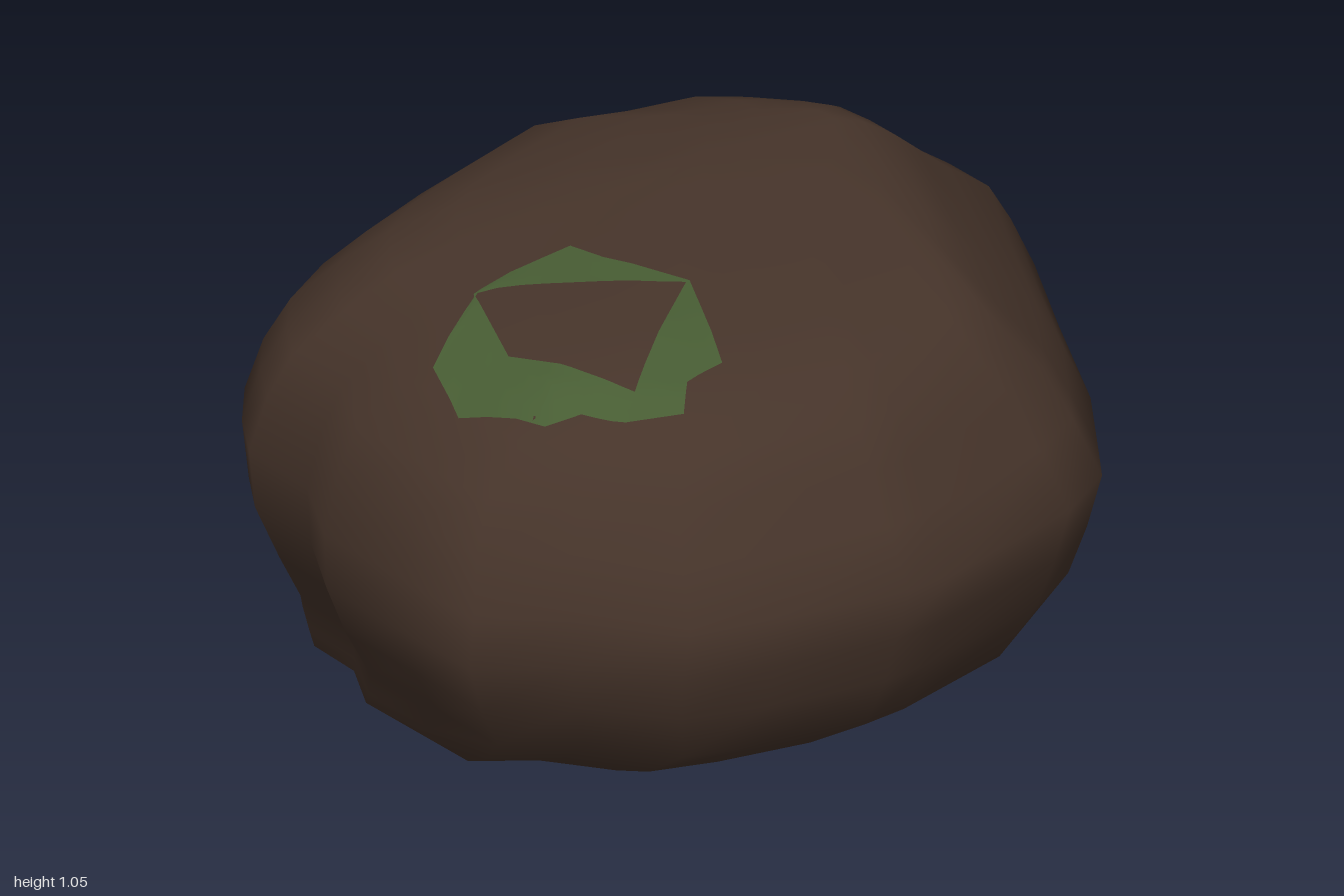
import * as THREE from 'three';

// Outline of the boulder from above (x, z), counter-clockwise
const OUTLINE = [
  [1, -0.04], [1, -0.2], [0.98, -0.36], [0.9, -0.49], [0.75, -0.66], [0.6, -0.79], [0.34, -0.86],
  [0.13, -0.95], [-0.26, -0.87], [-0.52, -0.8], [-0.7, -0.71], [-0.8, -0.6], [-0.88, -0.48],
  [-0.89, -0.27], [-1, -0.08], [-1, 0.18], [-1, 0.43], [-0.82, 0.57], [-0.67, 0.78], [-0.47, 0.86],
  [-0.18, 0.94], [-0.05, 0.94], [0.33, 0.88], [0.49, 0.8], [0.57, 0.69], [0.7, 0.51], [0.86, 0.21],
];

// Cross-sections: height, then the reach in x and z
const LEVELS = [
  [0, -0.8, 0.55, -0.77, 0.53],
  [0.06, -0.84, 0.63, -0.79, 0.68],
  [0.15, -0.88, 0.79, -0.82, 0.82],
  [0.28, -0.96, 0.92, -0.84, 0.88],
  [0.4, -1, 0.97, -0.91, 0.92],
  [0.53, -1, 1, -0.95, 0.95],
  [0.66, -0.96, 0.94, -0.9, 0.88],
  [0.77, -0.91, 0.87, -0.83, 0.82],
  [0.87, -0.8, 0.74, -0.73, 0.76],
  [0.94, -0.67, 0.66, -0.65, 0.66],
  [0.985, -0.5, 0.61, -0.55, 0.5],
  [1.015, -0.18, 0.56, -0.4, 0.24],
  [1.032, -0.02, 0.5, -0.28, 0.05],
];

// Flat break on the lower right side
const BREAK_NORMAL = new THREE.Vector3(0.62, -0.7, 0.35).normalize();
const BREAK_POINT = new THREE.Vector3(0.62, 0.24, 0.4);

function toGeometry(positions, index) {
  const geometry = new THREE.BufferGeometry();
  geometry.setAttribute('position', new THREE.Float32BufferAttribute(positions, 3));
  geometry.setIndex(index);
  geometry.computeVertexNormals();
  return geometry;
}

function levelRing([y, x0, x1, z0, z1]) {
  return OUTLINE.map(([x, z]) => {
    const p = new THREE.Vector3(
      THREE.MathUtils.mapLinear(x, -1, 1, x0, x1), y,
      THREE.MathUtils.mapLinear(z, -0.95, 0.94, z0, z1));
    // Press the lower right corner back behind the break
    const over = p.clone().sub(BREAK_POINT).dot(BREAK_NORMAL) + 0.012;
    if (y < 0.27 && p.z > 0 && over > 0) {
      p.x -= over * BREAK_NORMAL.x * 1.2;
      p.z -= over * BREAK_NORMAL.z * 1.2;
    }
    return p;
  });
}

function rockGeometry() {
  const n = OUTLINE.length;
  const positions = [];
  const index = [];
  const rings = LEVELS.map(levelRing);
  rings.forEach((ring) => ring.forEach((p) => positions.push(p.x, p.y, p.z)));
  const top = positions.length / 3;
  positions.push(0.15, 1.05, -0.15);
  for (let j = 0; j < rings.length; j++) {
    for (let i = 0; i < n; i++) {
      const a = j * n + i;
      const b = j * n + (i + 1) % n;
      if (j === rings.length - 1) index.push(a, b, top);
      else index.push(a, b, b + n, a, b + n, a + n);
    }
  }
  // Flat base with its own vertices, for a sharp edge
  const base = positions.length / 3;
  rings[0].forEach((p) => positions.push(p.x, p.y, p.z));
  positions.push(-0.12, 0, -0.12);
  for (let i = 0; i < n; i++) index.push(base + (i + 1) % n, base + i, base + n);
  return toGeometry(positions, index);
}

// Ring of moss draped over the rock between two outlines
function mossGeometry(rock) {
  const outer = [[-0.54, -0.09], [-0.3, -0.07], [-0.28, 0.02], [-0.2, 0.22], [-0.34, 0.5], [-0.44, 0.5],
    [-0.5, 0.56], [-0.6, 0.48], [-0.66, 0.4], [-0.74, 0.37], [-0.82, 0.17], [-0.76, 0.01]];
  const inner = [[-0.56, -0.09], [-0.44, 0.01], [-0.34, 0.1], [-0.21, 0.22], [-0.38, 0.33], [-0.47, 0.39],
    [-0.54, 0.44], [-0.57, 0.36], [-0.6, 0.29], [-0.63, 0.22], [-0.66, 0.15], [-0.61, 0.03]];
  const caster = new THREE.Raycaster();
  const down = new THREE.Vector3(0, -1, 0);
  const positions = [];
  const index = [];
  const n = outer.length * 3;
  const steps = 4;
  const at = (list, i) => {
    const a = list[Math.floor(i / 3)];
    const b = list[(Math.floor(i / 3) + 1) % list.length];
    const t = (i % 3) / 3;
    return [a[0] + (b[0] - a[0]) * t, a[1] + (b[1] - a[1]) * t];
  };
  for (let s = 0; s <= steps; s++) {
    for (let i = 0; i < n; i++) {
      const [ox, oz] = at(outer, i);
      const [ix, iz] = at(inner, i);
      const x = ox + (ix - ox) * s / steps;
      const z = oz + (iz - oz) * s / steps;
      caster.set(new THREE.Vector3(x, 3, z), down);
      const hit = caster.intersectObject(rock)[0];
      positions.push(x, (hit ? hit.point.y : 0.9) + 0.009, z);
    }
  }
  for (let s = 0; s < steps; s++) {
    for (let i = 0; i < n; i++) {
      const a = s * n + i;
      const b = s * n + (i + 1) % n;
      index.push(a, b + n, b, a, a + n, b + n);
    }
  }
  return toGeometry(positions, index);
}

// Flat pentagon of fresh stone
function breakGeometry() {
  const corners = [[0.62, 0.24, 0.4], [0.62, 0.08, 0.08], [0.5, 0, 0.08], [0.23, 0, 0.49], [0.4, 0.08, 0.49]];
  return toGeometry(corners.flat(), [0, 2, 1, 0, 3, 2, 0, 4, 3]);
}

export function createModel() {
  const stone = new THREE.MeshStandardMaterial({ color: 0x46342a });
  const mossGreen = new THREE.MeshStandardMaterial({ color: 0x475c33, side: THREE.DoubleSide });
  const freshStone = new THREE.MeshStandardMaterial({ color: 0x6b5040, side: THREE.DoubleSide });
  stone.name = 'dark brown stone';
  mossGreen.name = 'moss green';
  freshStone.name = 'light brown stone';

  const group = new THREE.Group();
  group.name = 'mossyBoulder';
  const add = (name, geometry, material) => {
    const mesh = new THREE.Mesh(geometry, material);
    mesh.name = name;
    group.add(mesh);
    return mesh;
  };

  const rock = add('rock', rockGeometry(), stone);
  add('mossPatch', mossGeometry(rock), mossGreen);
  add('brokenFace', breakGeometry(), freshStone);
  return group;
}
